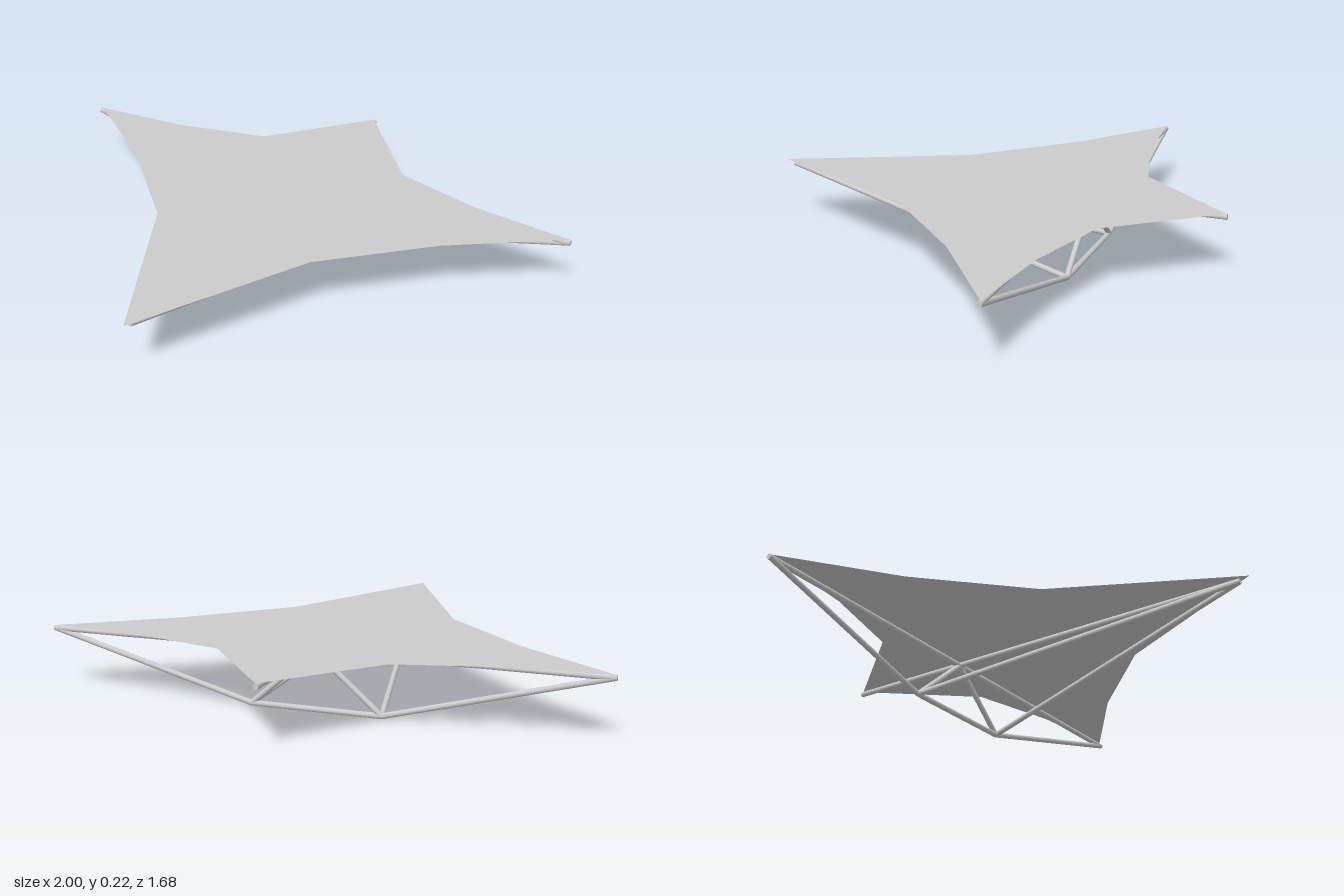
import * as THREE from 'three';

const ROD = 0.01;
const RIG_Y = 0.212, BAR_Y = 0.01, SPAR_Z = -0.362;

export function createModel() {
  const glider = new THREE.Group();
  glider.name = 'glider';
  const frameMat = new THREE.MeshStandardMaterial({ color: 0xcccccc });
  const sailMat = new THREE.MeshStandardMaterial({ color: 0xcccccc, side: THREE.DoubleSide });

  // Round tube between two points
  function rod(name, from, to) {
    const a = new THREE.Vector3(...from), b = new THREE.Vector3(...to);
    const dir = b.clone().sub(a);
    const mesh = new THREE.Mesh(new THREE.CylinderGeometry(ROD, ROD, dir.length(), 12), frameMat);
    mesh.position.copy(a).add(b).multiplyScalar(0.5);
    mesh.quaternion.setFromUnitVectors(new THREE.Vector3(0, 1, 0), dir.normalize());
    mesh.name = name;
    glider.add(mesh);
  }

  // Sail: flat, mirrored star-shaped outline as [x, z], rear tip to nose
  const half = [[0, -0.84], [0.3, -0.485], [0.63, -0.4], [0.995, -0.365], [0.635, -0.1], [0.31, 0.22], [0, 0.84]];
  const mirrored = half.slice(1, -1).reverse().map(([x, z]) => [-x, z]);
  const outline = [...half, ...mirrored].map(([x, z]) => new THREE.Vector2(x, -z));
  const sailGeo = new THREE.ShapeGeometry(new THREE.Shape(outline));
  sailGeo.rotateX(-Math.PI / 2);
  const sail = new THREE.Mesh(sailGeo, sailMat);
  sail.position.y = RIG_Y + ROD + 0.0005;
  sail.name = 'sail';
  glider.add(sail);

  // Frame under the sail
  const nose = [0, RIG_Y, 0.805], apex = [0, RIG_Y, SPAR_Z];
  rod('keel', [0, RIG_Y, -0.843], nose);
  rod('crossSpar', [-1, RIG_Y, SPAR_Z], [1, RIG_Y, SPAR_Z]);

  // Control triangle and its braces
  rod('controlBar', [-0.235, BAR_Y, SPAR_Z], [0.235, BAR_Y, SPAR_Z]);
  for (const [side, s] of [['left', 1], ['right', -1]]) {
    const corner = [s * 0.235, BAR_Y, SPAR_Z];
    rod(side + 'Upright', corner, apex);
    rod(side + 'WingBrace', corner, [s * 0.995, RIG_Y, SPAR_Z]);
    rod(side + 'NoseBrace', corner, nose);
  }
  return glider;
}
